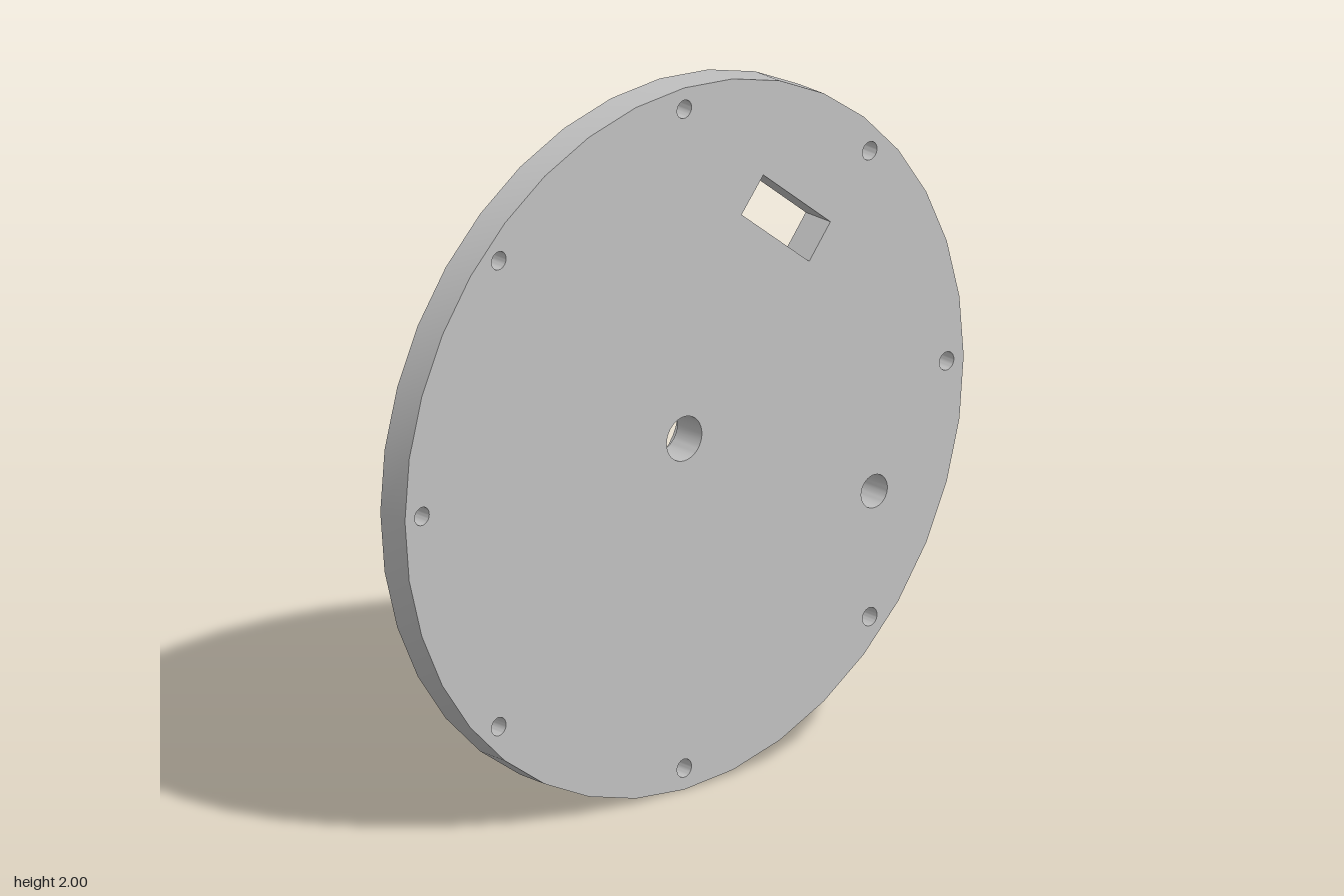
import * as THREE from 'three';
import { toCreasedNormals } from 'three/addons/utils/BufferGeometryUtils.js';

const PLATE_BACK = 0.105, PLATE_FRONT = 0.205;

function circle(Type, x, y, r) {
  const path = new Type();
  path.absarc(x, y, r, 0, Math.PI * 2, false);
  return path;
}

export function createModel() {
  const group = new THREE.Group();
  const grey = new THREE.MeshStandardMaterial({ color: 0xbfbfbf });
  grey.name = 'grey';

  // Extrudes a shape between two z positions, with smooth curved walls and sharp rims
  function addPart(name, shape, zBack, zFront) {
    const extruded = new THREE.ExtrudeGeometry(shape, {
      depth: zFront - zBack, bevelEnabled: false, curveSegments: 18,
    });
    const mesh = new THREE.Mesh(toCreasedNormals(extruded, 0.5), grey);
    mesh.name = name;
    mesh.position.z = zBack;
    group.add(mesh);
  }

  // Round plate with centre hole and small off-centre hole
  const plate = circle(THREE.Shape, 0, 1, 1);
  plate.holes.push(circle(THREE.Path, 0, 1, 0.063));
  plate.holes.push(circle(THREE.Path, 0.68, 0.69, 0.047));

  // Eight screw holes around the rim
  for (let i = 0; i < 8; i++) {
    const a = (i * Math.PI) / 4;
    plate.holes.push(circle(THREE.Path, 0.939 * Math.cos(a), 1 + 0.939 * Math.sin(a), 0.026));
  }

  // Tilted rectangular slot
  plate.holes.push(new THREE.Path([
    [0.283, 1.685], [0.205, 1.59], [0.447, 1.4], [0.523, 1.495],
  ].map(([x, y]) => new THREE.Vector2(x, y))));
  addPart('plate', plate, PLATE_BACK, PLATE_FRONT);

  // Round collars on the back: name, x, y, outer radius, inner radius, rear z
  const collars = [
    ['largeCollar', 0, 1, 0.436, 0.374, -0.12],
    ['centreBoss', 0, 1, 0.187, 0.15, 0.01],
    ['sideTube', 0.68, 0.69, 0.217, 0.172, -0.205],
  ];
  for (const [name, x, y, outer, inner, zBack] of collars) {
    const ring = circle(THREE.Shape, x, y, outer);
    ring.holes.push(circle(THREE.Path, x, y, inner));
    addPart(name, ring, zBack, PLATE_BACK);
  }

  return group;
}
